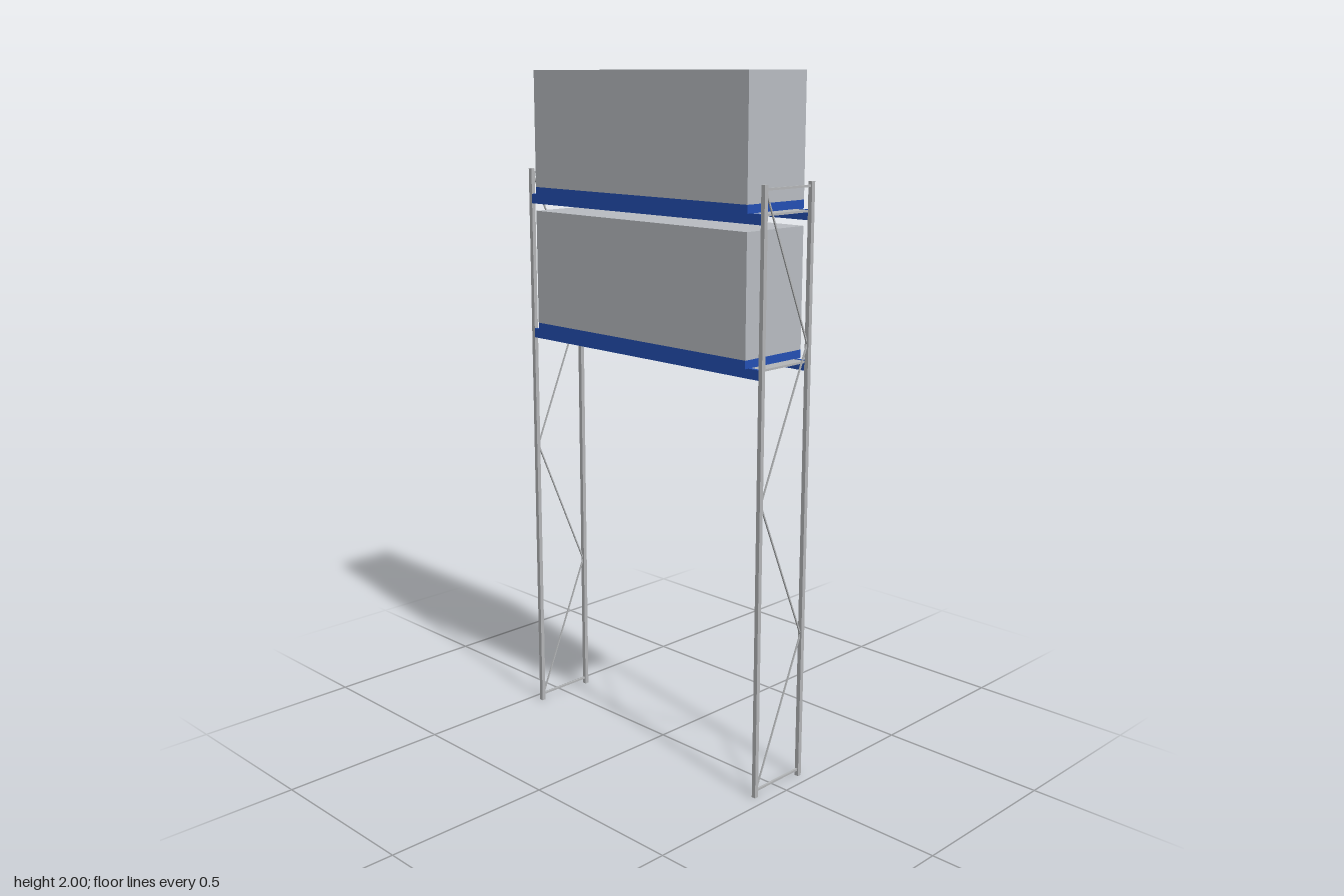
import * as THREE from 'three';

const postMat = new THREE.MeshStandardMaterial({ color: 0xb4b6b8 });
postMat.name = 'galvanised steel';
const boxMat = new THREE.MeshStandardMaterial({ color: 0xb9bdc2 });
boxMat.name = 'load grey';
const blueMat = new THREE.MeshStandardMaterial({ color: 0x2450b4 });
blueMat.name = 'beam blue';

function addBox(parent, name, mat, size, pos) {
  const mesh = new THREE.Mesh(new THREE.BoxGeometry(...size), mat);
  mesh.name = name;
  mesh.position.set(...pos);
  parent.add(mesh);
  return mesh;
}

// Thin square bar running in the yz plane between two (z, y) points
function addBar(parent, name, [z0, y0], [z1, y1], t) {
  const dz = z1 - z0, dy = y1 - y0;
  const bar = addBox(parent, name, postMat, [t, t, Math.hypot(dz, dy)], [0, (y0 + y1) / 2, (z0 + z1) / 2]);
  bar.rotation.x = -Math.atan2(dy, dz);
}

// End frame: two posts, top and bottom ties, zigzag bracing
function makeEndFrame() {
  const frame = new THREE.Group();
  frame.name = 'endFrame';
  const post = 0.0125, z = 0.094, height = 1.714;
  for (const s of [1, -1]) addBox(frame, 'post', postMat, [post, height, post], [0, height / 2, s * z]);
  for (const y of [0.02, 1.702]) addBar(frame, 'tie', [-0.09, y], [0.09, y], 0.006);
  const levels = [0.02, 0.44, 0.86, 1.278, 1.702];
  for (let i = 0; i < levels.length - 1; i++) {
    const side = i % 2 ? -1 : 1;
    addBar(frame, 'diagonalBrace', [side * 0.09, levels[i]], [-side * 0.09, levels[i + 1]], 0.004);
  }
  return frame;
}

// Shelf level: beams, deck, pallet and load; origin at the beam underside
function makeLevel() {
  const level = new THREE.Group();
  level.name = 'shelfLevel';
  const beamH = 0.028, palletH = 0.023, loadH = 0.338;
  for (const s of [1, -1]) addBox(level, 'beam', blueMat, [0.914, beamH, 0.011], [0, beamH / 2, s * 0.0945]);
  addBox(level, 'deck', postMat, [0.91, 0.006, 0.178], [0, beamH - 0.004, 0]);
  addBox(level, 'pallet', blueMat, [0.842, palletH, 0.227], [0, beamH + palletH / 2, 0]);
  addBox(level, 'load', boxMat, [0.842, loadH, 0.227], [0, beamH + palletH + loadH / 2, 0]);
  return level;
}

export function createModel() {
  const rack = new THREE.Group();
  rack.name = 'palletRack';
  for (const s of [1, -1]) {
    const frame = makeEndFrame();
    frame.position.x = s * 0.4625;
    rack.add(frame);
  }
  for (const y of [1.203, 1.611]) {
    const level = makeLevel();
    level.position.y = y;
    rack.add(level);
  }
  return rack;
}
